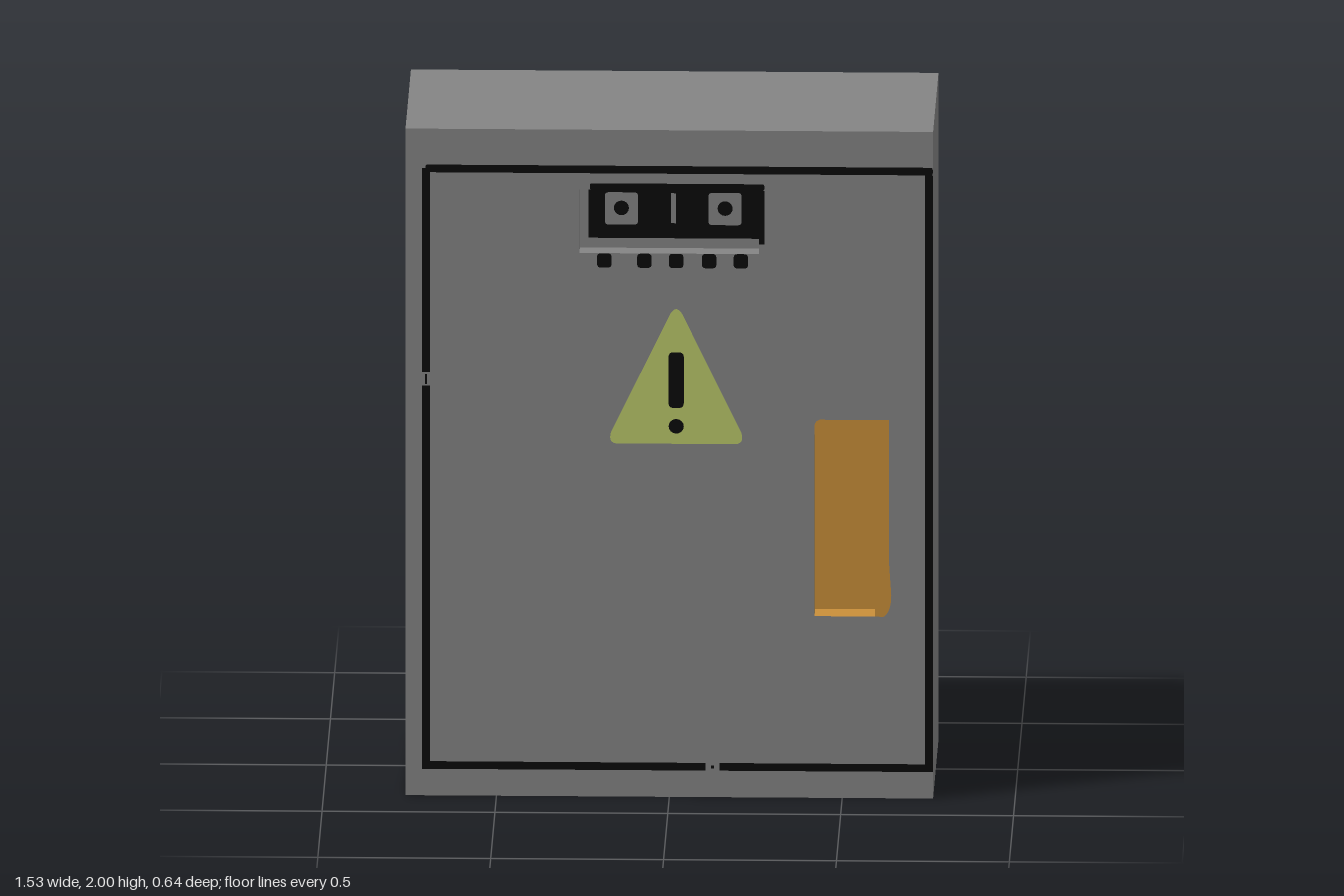
import * as THREE from 'three';

const W = 1.526, H = 2, D = 0.64, FRONT = D / 2, LIFT = 0.002;

const mat = (name, color) => {
  const m = new THREE.MeshStandardMaterial({ color });
  m.name = name;
  return m;
};

// Closed rectangle path with its corners cut round
function rect(x0, x1, y0, y1, r = 0, Type = THREE.Shape) {
  const s = new Type();
  if (!r) {
    s.moveTo(x0, y0).lineTo(x1, y0).lineTo(x1, y1).lineTo(x0, y1).closePath();
    return s;
  }
  s.moveTo(x0 + r, y0).lineTo(x1 - r, y0).quadraticCurveTo(x1, y0, x1, y0 + r);
  s.lineTo(x1, y1 - r).quadraticCurveTo(x1, y1, x1 - r, y1);
  s.lineTo(x0 + r, y1).quadraticCurveTo(x0, y1, x0, y1 - r);
  s.lineTo(x0, y0 + r).quadraticCurveTo(x0, y0, x0 + r, y0);
  return s;
}

function disc(x, y, r) {
  const s = new THREE.Shape();
  s.absarc(x, y, r, 0, Math.PI * 2);
  return s;
}

// Box without its front face; inward turns it into a recess lining
function openBox(w, h, d, inward) {
  const g = new THREE.BoxGeometry(w, h, d);
  const index = Array.from(g.index.array);
  if (inward) {
    for (let i = 0; i < index.length; i += 3) [index[i], index[i + 1]] = [index[i + 1], index[i]];
    const n = g.attributes.normal;
    for (let i = 0; i < n.array.length; i++) n.array[i] *= -1;
  }
  g.setIndex(index);
  g.groups = g.groups.filter((_, side) => side !== 4);
  return g;
}

export function createModel() {
  const model = new THREE.Group();
  model.name = 'electricalCabinet';
  const grey = mat('cabinetGrey', 0x848484);
  const black = mat('markingBlack', 0x0a0a0a);
  const orange = mat('handleOrange', 0xc98f39);
  const yellow = mat('warningYellow', 0xb9c869);

  const add = (name, geometry, material, x = 0, y = 0, z = 0) => {
    const mesh = new THREE.Mesh(geometry, material);
    mesh.name = name;
    mesh.position.set(x, y, z);
    model.add(mesh);
    return mesh;
  };
  const paint = (name, shapes, material, z = FRONT + LIFT) =>
    add(name, new THREE.ShapeGeometry(shapes, 8), material, 0, 0, z);

  // Cabinet shell and front face with two openings
  const vent = { x0: -0.26, x1: 0.26, y0: 1.63, y1: 1.82, depth: 0.06 };
  const grip = { x0: 0.42, x1: 0.595, y0: 0.545, y1: 1.09, depth: 0.08 };
  add('cabinetShell', openBox(W, H, D, false), Array(6).fill(grey), 0, H / 2, 0);
  const face = rect(-W / 2, W / 2, 0, H);
  for (const o of [vent, grip]) face.holes.push(rect(o.x0, o.x1, o.y0, o.y1, 0, THREE.Path));
  paint('frontFace', face, grey, FRONT);

  // Recess linings: materials in order right, left, top, bottom, front, back
  const recess = (name, o, materials) =>
    add(name, openBox(o.x1 - o.x0, o.y1 - o.y0, o.depth, true), materials,
      (o.x0 + o.x1) / 2, (o.y0 + o.y1) / 2, FRONT - o.depth / 2);
  recess('socketRecess', vent, [black, grey, black, grey, grey, grey]);
  recess('handleRecess', grip, Array(6).fill(orange));

  // Orange rim above and beside the handle recess
  const rim = new THREE.Shape();
  rim.moveTo(grip.x1, 0.545).lineTo(0.62, 0.545).quadraticCurveTo(0.642, 0.56, 0.642, 0.61);
  rim.lineTo(0.636, 0.7).lineTo(0.636, 1.135).lineTo(0.435, 1.135);
  rim.quadraticCurveTo(0.42, 1.13, 0.42, 1.115).lineTo(0.42, grip.y1).lineTo(grip.x1, grip.y1).closePath();
  paint('handleRim', rim, orange);

  // Door outline with small gaps at the left and the bottom
  const [l, r, b, t, w] = [-0.715, 0.762, 0.08, 1.893, 0.023];
  paint('doorOutline', [
    rect(l + 0.01, r, t - w, t, 0.006),
    rect(r - w, r, b, t - w),
    rect(l, l + w, b, 1.23), rect(l, l + w, 1.27, t - 0.01),
    rect(l + w, 0.105, b, b + w), rect(0.145, r - w, b, b + w),
    rect(0.12, 0.13, b + 0.007, b + 0.015), rect(l + 0.008, l + 0.014, 1.235, 1.265),
  ], black);

  // Socket plate painted on the recess floor, with two cut-out squares and a slit
  const plate = rect(-0.235, vent.x1, 1.66, vent.y1);
  const dots = [];
  for (const x of [-0.14, 0.16]) {
    plate.holes.push(rect(x - 0.048, x + 0.048, 1.7, 1.797, 0.012, THREE.Path));
    dots.push(disc(x, 1.75, 0.022));
  }
  plate.holes.push(rect(0.003, 0.018, 1.705, 1.795, 0, THREE.Path));
  const floorZ = FRONT - vent.depth + LIFT;
  paint('socketPlate', plate, black, floorZ);
  paint('socketDots', dots, black, floorZ);
  paint('socketEdge', [
    rect(-0.23, 0.275, vent.y1, 1.84, 0.008),
    rect(vent.x1, 0.275, 1.66, vent.y1),
  ], black);

  // Row of pins below the socket
  paint('socketPins', [-0.188, -0.072, 0.02, 0.115, 0.207].map(
    x => rect(x - 0.021, x + 0.021, 1.587, vent.y0, 0.012)), black);

  // Warning triangle with blunt corners and exclamation mark
  const sign = new THREE.Shape();
  sign.moveTo(-0.155, 1.06).lineTo(0.195, 1.06).quadraticCurveTo(0.218, 1.065, 0.208, 1.095);
  sign.lineTo(0.037, 1.45).quadraticCurveTo(0.02, 1.478, 0.003, 1.45);
  sign.lineTo(-0.168, 1.095).quadraticCurveTo(-0.178, 1.065, -0.155, 1.06);
  paint('warningTriangle', sign, yellow);
  paint('exclamationMark', [rect(-0.002, 0.042, 1.168, 1.335, 0.015), disc(0.02, 1.113, 0.022)],
    black, FRONT + 2 * LIFT);

  return model;
}
